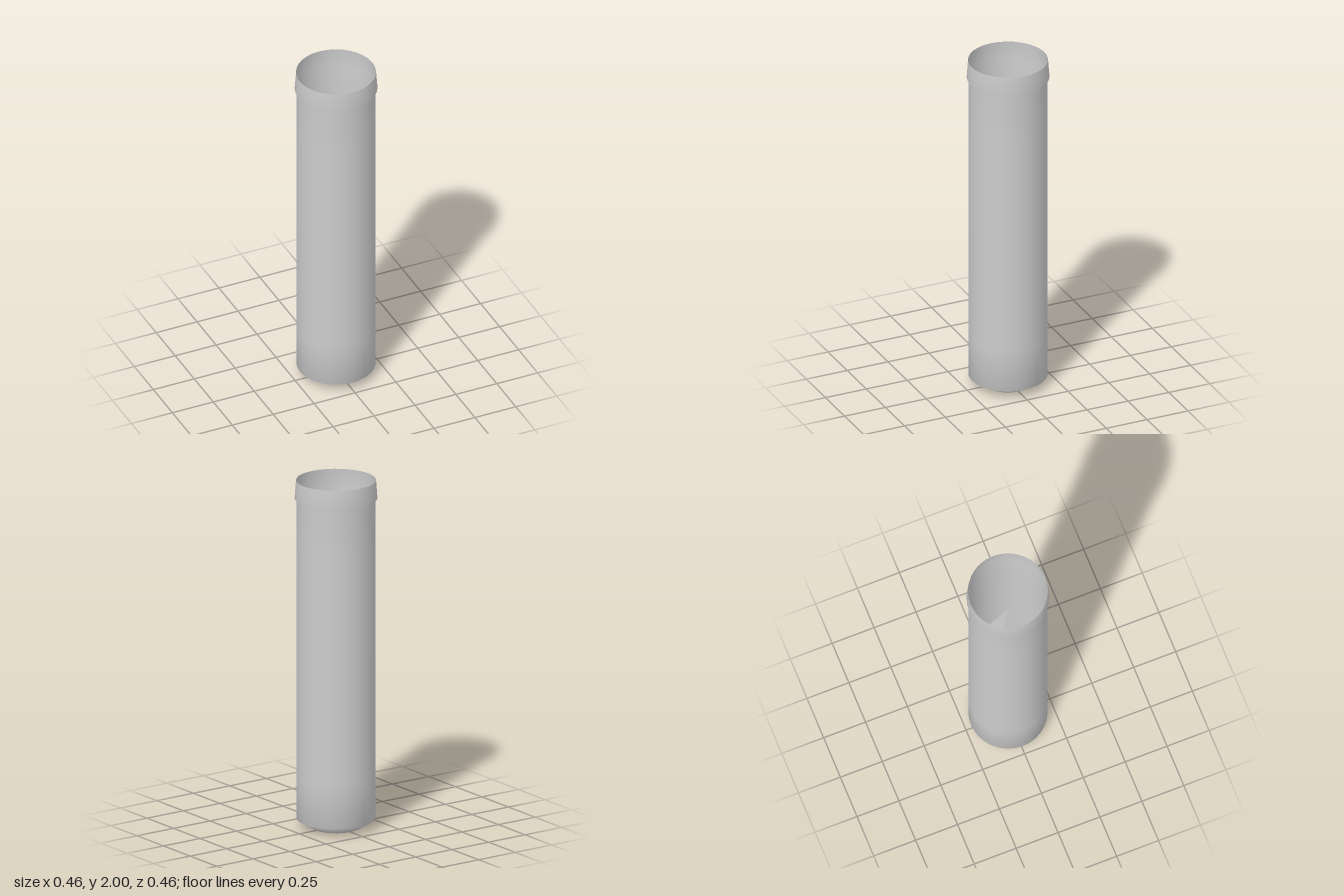
import * as THREE from 'three';

// Faceted spindle: apex, inner ring of 4, girdle of 8, mirrored downwards
function crystalGeometry(midY, innerRise, tipRise) {
  const girdle = [[0.2, 0], [0.1, 0.095], [0, 0.163], [-0.12, 0.075],
    [-0.19, -0.06], [-0.1, -0.11], [0, -0.165], [0.105, -0.105]];
  const inner = [[0.07, 0.035], [-0.055, 0.06], [-0.065, -0.075], [0.06, -0.08]];
  const positions = [];
  for (const s of [1, -1]) {
    const E = i => [girdle[i % 8][0], midY, girdle[i % 8][1]];
    const I = i => [inner[i % 4][0], midY + s * innerRise, inner[i % 4][1]];
    const tip = [0, midY + s * tipRise, 0];
    const face = (a, b, c) => positions.push(...(s > 0 ? [a, c, b] : [a, b, c]).flat());
    for (let k = 0; k < 4; k++) {
      face(tip, I(k), I(k + 1));
      face(I(k), E(2 * k), E(2 * k + 1));
      face(I(k), E(2 * k + 1), E(2 * k + 2));
      face(I(k), E(2 * k + 2), I(k + 1));
    }
  }
  const geometry = new THREE.BufferGeometry();
  geometry.setAttribute('position', new THREE.Float32BufferAttribute(positions, 3));
  geometry.computeVertexNormals();
  return geometry;
}

export function createModel() {
  const group = new THREE.Group();

  // Thin open tube: closed chamfered base, straight wall, flared collar
  const profile = [[0, 0], [0.135, 0], [0.22, 0.05], [0.22, 0.3], [0.22, 1.6],
    [0.22, 1.895], [0.23, 1.895], [0.222, 2]].map(([r, y]) => new THREE.Vector2(r, y));
  const tube = new THREE.Mesh(
    new THREE.LatheGeometry(profile, 32),
    new THREE.MeshStandardMaterial({ color: 0xcccccc, side: THREE.DoubleSide }));
  tube.name = 'tube';
  group.add(tube);

  // Crystal standing inside the tube
  const crystal = new THREE.Mesh(
    crystalGeometry(0.9, 0.5, 0.8),
    new THREE.MeshStandardMaterial({ color: 0xcccccc, flatShading: true }));
  crystal.name = 'crystal';
  group.add(crystal);

  return group;
}
